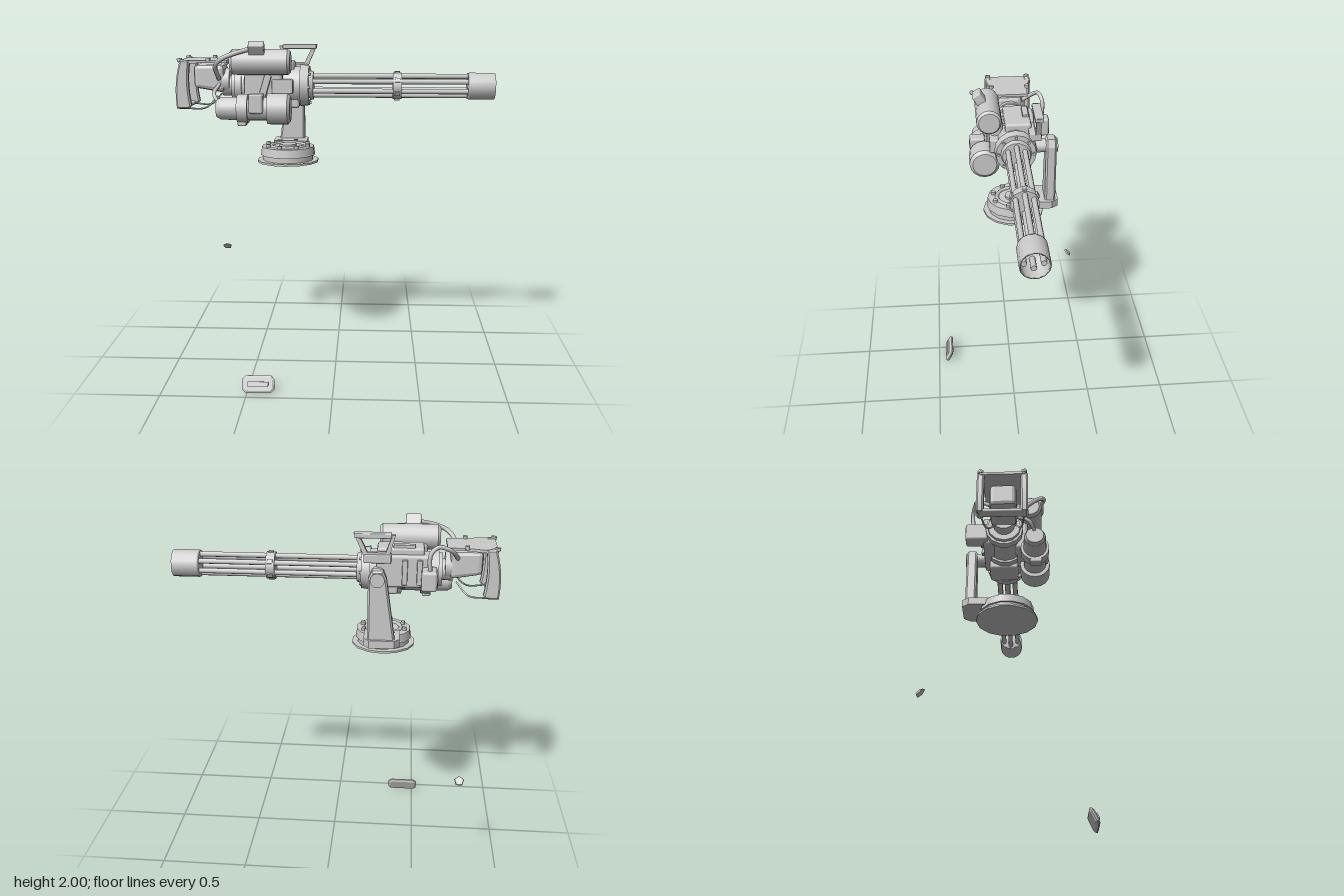
import * as THREE from 'three';
import { RoundedBoxGeometry } from 'three/addons/geometries/RoundedBoxGeometry.js';

const AXIS_Y = 1.735, AXIS_Z = -0.025;

export function createModel() {
  const root = new THREE.Group();
  const mat = new THREE.MeshStandardMaterial({ color: 0xcccccc });
  const thin = new THREE.MeshStandardMaterial({ color: 0xcccccc, side: THREE.DoubleSide });

  function add(name, geo, x = 0, y = 0, z = 0, parent = root, material = mat) {
    const m = new THREE.Mesh(geo, material);
    m.name = name;
    m.position.set(x, y, z);
    parent.add(m);
    return m;
  }
  // cylinder along x, from x0 to x1, with radii at each end
  function barX(name, x0, x1, y, z, r0, r1 = r0, sides = 14) {
    const g = new THREE.CylinderGeometry(r1, r0, x1 - x0, sides).rotateZ(-Math.PI / 2);
    return add(name, g, (x0 + x1) / 2, y, z);
  }
  // upright disc
  function disc(name, x, z, y0, y1, r0, r1 = r0, sides = 14) {
    return add(name, new THREE.CylinderGeometry(r1, r0, y1 - y0, sides), x, (y0 + y1) / 2, z);
  }
  // box given by its limits, slightly rounded
  function box(name, x0, x1, y0, y1, z0, z1, r = 0.008) {
    return add(name, new RoundedBoxGeometry(x1 - x0, y1 - y0, z1 - z0, 1, r),
      (x0 + x1) / 2, (y0 + y1) / 2, (z0 + z1) / 2);
  }
  function polygon(points) {
    return new THREE.Shape(points.map(p => new THREE.Vector2(...p)));
  }
  // outline in x/y given thickness along z, starting at z0
  function plateZ(name, shape, z0, z1, bevel = 0) {
    const g = new THREE.ExtrudeGeometry(shape, {
      depth: z1 - z0 - 2 * bevel, bevelEnabled: bevel > 0, bevelSize: bevel,
      bevelThickness: bevel, bevelOffset: -bevel, bevelSegments: 1 });
    return add(name, g, 0, 0, z0 + bevel);
  }
  function tube(name, pts, r, sides = 8) {
    const c = new THREE.CatmullRomCurve3(pts.map(p => new THREE.Vector3(...p)));
    return add(name, new THREE.TubeGeometry(c, 24, r, sides), 0, 0, 0, root, thin);
  }

  // Barrel cluster
  for (let i = 0; i < 6; i++) {
    const a = (i + 0.5) * Math.PI / 3;
    barX('barrel', -0.2, 0.86, AXIS_Y + 0.055 * Math.sin(a), AXIS_Z + 0.055 * Math.cos(a), 0.015, 0.015, 8);
  }
  barX('barrelClamp', 0.33, 0.38, AXIS_Y, AXIS_Z, 0.077);
  for (let i = 0; i < 6; i++) {
    const a = i * Math.PI / 3;
    const lug = add('clampLug', new THREE.BoxGeometry(0.03, 0.012, 0.025), 0.355,
      AXIS_Y + 0.077 * Math.cos(a), AXIS_Z + 0.077 * Math.sin(a));
    lug.rotation.x = a;
  }
  // Open muzzle shroud, turned from a profile
  const profile = [[0, 0], [0.075, 0], [0.077, 0.01], [0.077, 0.155], [0.068, 0.155], [0.068, 0.02], [0, 0.02]];
  const shroud = new THREE.LatheGeometry(profile.map(p => new THREE.Vector2(...p)), 14);
  add('muzzleShroud', shroud.rotateZ(-Math.PI / 2), 0.76, AXIS_Y, AXIS_Z, root, thin);

  // Rotor housing
  barX('rotorHousing', -0.6, -0.2, AXIS_Y, AXIS_Z, 0.095, 0.11, 12);
  barX('frontFlange', -0.205, -0.155, AXIS_Y, AXIS_Z, 0.122, 0.115, 16);
  barX('frontCollar', -0.16, -0.13, AXIS_Y, AXIS_Z, 0.09, 0.08);
  barX('middleBand', -0.4, -0.35, AXIS_Y, AXIS_Z, 0.115);
  barX('rearBand', -0.58, -0.54, AXIS_Y, AXIS_Z, 0.108);
  barX('rearCoupling', -0.66, -0.59, AXIS_Y, AXIS_Z, 0.06);
  for (let i = 0; i < 8; i++) {
    const a = i * Math.PI / 4;
    barX('flangeBolt', -0.16, -0.145, AXIS_Y + 0.1 * Math.sin(a), AXIS_Z + 0.1 * Math.cos(a), 0.009, 0.009, 6);
  }
  box('feedHousing', -0.54, -0.24, 1.66, 1.84, -0.15, -0.02, 0.015);
  box('topCover', -0.5, -0.24, 1.8, 1.875, -0.12, 0.03, 0.015);
  box('topPlate', -0.45, -0.33, 1.87, 1.89, -0.11, -0.075, 0.004);
  box('lowerHousing', -0.36, -0.21, 1.61, 1.7, -0.12, 0.05, 0.015);
  box('sideBlock', -0.36, -0.24, 1.7, 1.78, 0.05, 0.12);
  for (const x of [-0.49, -0.41]) box('feedRib', x, x + 0.03, 1.68, 1.82, -0.165, -0.14, 0.004);
  box('motorBridge', -0.52, -0.3, 1.64, 1.86, 0.04, 0.11, 0.02);

  // Upper motor with its tilted cap
  barX('upperMotor', -0.575, -0.265, 1.88, 0.12, 0.072, 0.072, 16);
  barX('upperMotorFront', -0.265, -0.25, 1.88, 0.12, 0.072, 0.06, 16);
  barX('upperMotorRear', -0.59, -0.575, 1.88, 0.12, 0.058, 0.072, 16);
  const cap = add('motorCap', new RoundedBoxGeometry(0.088, 0.1, 0.055, 1, 0.008), -0.435, 1.945, 0.16);
  cap.rotation.x = 0.55;

  // Lower motor in stepped sections: x0, x1, radius at each end
  const steps = [[-0.67, -0.65, 0.05, 0.06], [-0.65, -0.55, 0.062, 0.066], [-0.55, -0.49, 0.082, 0.082],
    [-0.49, -0.38, 0.066, 0.066], [-0.38, -0.265, 0.088, 0.088], [-0.265, -0.25, 0.088, 0.07]];
  for (const [a, b, r0, r1] of steps) barX('lowerMotor', a, b, 1.62, 0.15, r0, r1, 16);
  box('lowerMotorFoot', -0.55, -0.5, 1.525, 1.57, 0.12, 0.19);
  box('lowerMotorBracket', -0.48, -0.4, 1.6, 1.71, 0.14, 0.23, 0.012);
  const strut = box('slantedStrut', -0.42, -0.38, 1.66, 1.81, 0.1, 0.13);
  strut.rotation.z = -0.3;

  // Rear drive box
  const drive = new RoundedBoxGeometry(0.18, 0.16, 0.15, 1, 0.025);
  const dp = drive.attributes.position;
  for (let i = 0; i < dp.count; i++) if (dp.getX(i) < 0) dp.setY(i, dp.getY(i) * 0.85 + 0.01);
  drive.computeVertexNormals();
  add('rearDrive', drive, -0.73, 1.78, AXIS_Z);
  barX('rearDriveCap', -0.655, -0.615, 1.76, AXIS_Z, 0.075);

  // Rear plate, outlined in x/z, and twin grips
  const top = polygon([[-0.89, -0.15], [-0.83, -0.16], [-0.72, -0.13], [-0.68, -0.13], [-0.62, -0.13],
    [-0.62, 0.075], [-0.70, 0.08], [-0.83, 0.11], [-0.89, 0.1]]);
  const topGeo = new THREE.ExtrudeGeometry(top, { depth: 0.015, bevelEnabled: false });
  add('rearPlate', topGeo.rotateX(Math.PI / 2), 0, 1.885, 0);
  const grip = new THREE.Shape();
  grip.moveTo(-0.88, 1.89);
  grip.lineTo(-0.825, 1.885);
  grip.quadraticCurveTo(-0.85, 1.76, -0.825, 1.63);
  grip.lineTo(-0.84, 1.612);
  grip.lineTo(-0.91, 1.612);
  grip.quadraticCurveTo(-0.925, 1.76, -0.88, 1.89);
  for (const z of [-0.145, 0.095]) {
    plateZ('grip', grip, z - 0.02, z + 0.02, 0.009);
    const bolt = disc('gripBolt', -0.885, z, 1.88, 1.897, 0.016, 0.016, 6);
    bolt.rotation.z = 0.15;
    disc('plateBolt', -0.725, z * 0.9 - 0.005, 1.88, 1.9, 0.014, 0.014, 6);
    // thin strip from grip foot up to the drive box
    tube('lowerStay', [[-0.87, 1.615, z], [-0.75, 1.615, z * 0.8], [-0.68, 1.68, z * 0.5]], 0.005, 6);
  }
  box('gripCrossBar', -0.905, -0.85, 1.61, 1.63, -0.15, 0.1, 0.006);

  // Hoses and back connector box
  tube('upperHose', [[-0.47, 1.955, 0.165], [-0.56, 1.93, 0.2], [-0.63, 1.9, 0.2],
    [-0.67, 1.86, 0.16], [-0.67, 1.78, 0.06]], 0.013);
  tube('backHose', [[-0.53, 1.76, -0.205], [-0.53, 1.87, -0.21], [-0.57, 1.905, -0.195],
    [-0.64, 1.88, -0.17], [-0.68, 1.82, -0.1]], 0.012);
  box('backConnector', -0.57, -0.485, 1.67, 1.78, -0.25, -0.12, 0.015);
  tube('sideHose', [[-0.66, 1.65, 0.15], [-0.69, 1.7, 0.12], [-0.67, 1.75, 0.04]], 0.011);

  // Carrying handle
  const handle = polygon([[-0.115, 1.965], [-0.34, 1.955], [-0.31, 1.84], [-0.17, 1.84]]);
  handle.holes.push(new THREE.Path([[-0.15, 1.942], [-0.19, 1.86], [-0.29, 1.86], [-0.315, 1.935]]
    .map(p => new THREE.Vector2(...p))));
  plateZ('carryHandle', handle, -0.165, -0.135);
  box('handleGrip', -0.32, -0.12, 1.938, 1.965, -0.175, -0.125, 0.006);
  box('handleMount', -0.32, -0.17, 1.8, 1.85, -0.17, -0.1);

  // Support arm and pivot
  plateZ('supportArm', polygon([[-0.355, 1.37], [-0.2, 1.37], [-0.2, 1.74], [-0.22, 1.785],
    [-0.28, 1.785], [-0.3, 1.74]]), -0.262, -0.2, 0.01);
  const pivot = add('pivot', new THREE.CylinderGeometry(0.04, 0.04, 0.16, 12), -0.25, 1.735, -0.19);
  pivot.rotation.x = Math.PI / 2;
  const foot = polygon([[-0.38, -0.1], [-0.38, -0.24], [-0.35, -0.278], [-0.21, -0.278], [-0.18, -0.24], [-0.18, -0.1]]);
  const footGeo = new THREE.ExtrudeGeometry(foot, { depth: 0.045, bevelEnabled: false });
  add('armFoot', footGeo.rotateX(Math.PI / 2), 0, 1.395, 0);

  // Turntable base
  const bx = -0.285, bz = -0.018;
  disc('baseFlange', bx, bz, 1.288, 1.3, 0.182);
  disc('baseLower', bx, bz, 1.3, 1.33, 0.15);
  disc('baseDrum', bx, bz, 1.33, 1.38, 0.162, 0.155);
  add('baseRing', new THREE.TorusGeometry(0.1, 0.012, 6, 20).rotateX(Math.PI / 2), bx, 1.38, bz);
  disc('baseHub', bx, bz, 1.375, 1.392, 0.05);
  for (let i = 0; i < 8; i++) {
    const a = i * Math.PI / 4 + 0.3;
    disc('baseBolt', bx + 0.125 * Math.cos(a), bz + 0.125 * Math.sin(a), 1.375, 1.397, 0.014, 0.014, 6);
  }

  // Detached chamfered plate with a raised frame
  const loose = new THREE.Group();
  loose.name = 'loosePlate';
  loose.position.set(-0.435, 0.05, 0.43);
  loose.rotation.x = -0.42;
  root.add(loose);
  const rim = polygon([[-0.094, -0.03], [-0.074, -0.05], [0.074, -0.05], [0.094, -0.03],
    [0.094, 0.03], [0.074, 0.05], [-0.074, 0.05], [-0.094, 0.03]]);
  add('plateBody', new THREE.ExtrudeGeometry(rim, { depth: 0.008, bevelEnabled: true, bevelSize: 0.012,
    bevelThickness: 0.008, bevelOffset: -0.012, bevelSegments: 1 }), 0, 0, -0.008, loose);
  add('plateInset', new THREE.BoxGeometry(0.12, 0.03, 0.014), 0, 0, 0.012, loose);

  // Detached small tab
  const tab = add('looseTab', new THREE.CylinderGeometry(0.026, 0.03, 0.01, 5), -0.745, 0.623, -0.438);
  tab.rotation.x = -0.78;

  return root;
}
